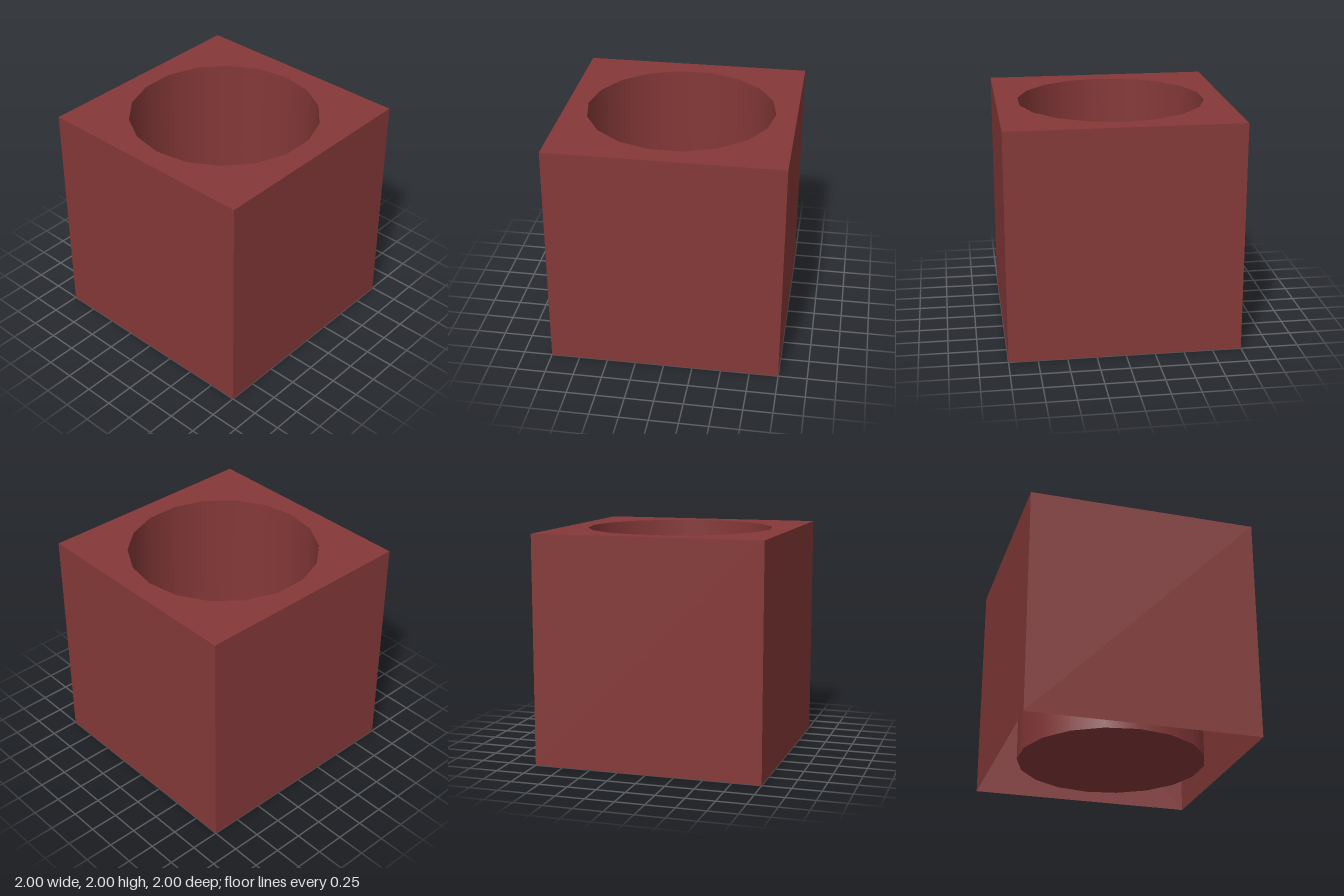
import * as THREE from 'three';

const SIZE = 2;        // cube edge
const RADIUS = 0.818;  // well radius
const SIDES = 18;
const FLOOR_Y = 0.03;  // height of the well floor
const WELL_Z = -0.004;

export function createModel() {
  const group = new THREE.Group();
  const sheet = new THREE.MeshStandardMaterial({ color: 0x853838, side: THREE.DoubleSide });
  const flatSheet = sheet.clone();
  flatSheet.flatShading = true;

  const add = (name, geometry, material = sheet) => {
    const mesh = new THREE.Mesh(geometry, material);
    mesh.name = name;
    group.add(mesh);
    return mesh;
  };

  // Four thin outer walls, open underneath
  const walls = new THREE.CylinderGeometry(Math.SQRT2, Math.SQRT2, SIZE, 4, 1, true);
  walls.rotateY(Math.PI / 4).translate(0, SIZE / 2, 0);
  add('outerWalls', walls, flatSheet);

  // Square top with the round opening
  const square = new THREE.Shape([[-1, -1], [1, -1], [1, 1], [-1, 1]].map(([x, y]) => new THREE.Vector2(x, y)));
  const rim = [];
  for (let i = 0; i < SIDES; i++) {
    const a = (-i / SIDES) * Math.PI * 2;
    rim.push(new THREE.Vector2(RADIUS * Math.cos(a), RADIUS * Math.sin(a) - WELL_Z));
  }
  square.holes.push(new THREE.Path(rim));
  const top = new THREE.ShapeGeometry(square);
  top.rotateX(-Math.PI / 2).translate(0, SIZE, 0);
  add('topPlate', top);

  // Round well hanging from the opening
  const depth = SIZE - FLOOR_Y;
  const well = new THREE.CylinderGeometry(RADIUS, RADIUS, depth, SIDES, 1, true);
  well.rotateY(Math.PI / 2).translate(0, FLOOR_Y + depth / 2, WELL_Z);
  add('wellWall', well);

  // Floor of the well
  const floor = new THREE.CircleGeometry(RADIUS, SIDES);
  floor.rotateX(-Math.PI / 2).translate(0, FLOOR_Y, WELL_Z);
  add('wellFloor', floor);

  return group;
}
